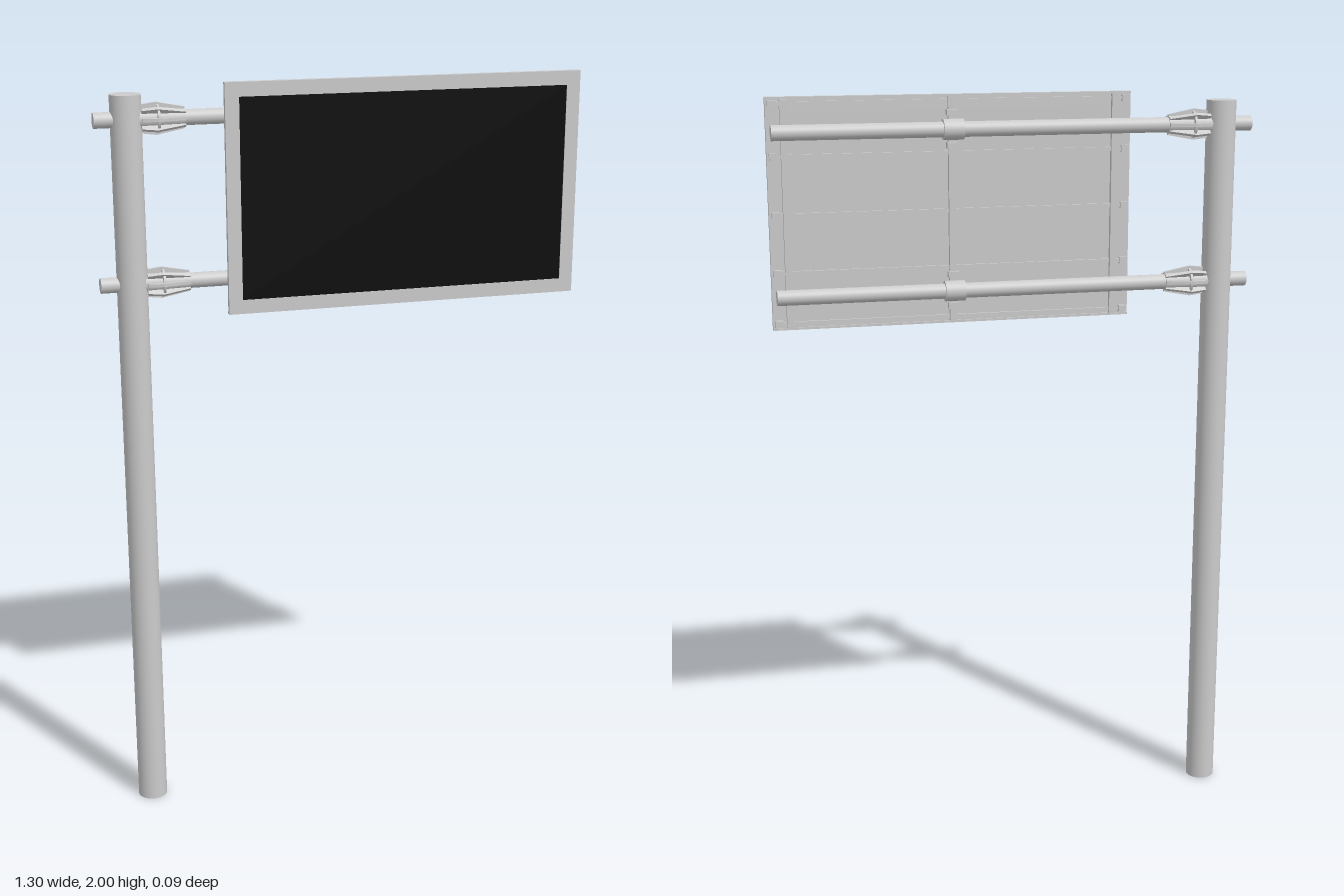
import * as THREE from 'three';

const TILT = 0.0275;
const ARM_Y = [1.912, 1.49];
const PANEL = { x0: 0.246, x1: 1.213, y0: 1.4, y1: 2.0, back: 0.027, front: 0.041 };
const BORDER = 0.037;

export function createModel() {
  const model = new THREE.Group();
  model.name = 'roadsideDisplay';
  const grey = new THREE.MeshStandardMaterial({ color: 0xcccccc });
  const black = new THREE.MeshStandardMaterial({ color: 0x080808 });

  const add = (parent, name, geometry, material = grey) => {
    const mesh = new THREE.Mesh(geometry, material);
    mesh.name = name;
    parent.add(mesh);
    return mesh;
  };
  // Box given by its limits on each axis
  const box = (parent, name, x0, x1, y0, y1, z0, z1, material) => {
    const mesh = add(parent, name, new THREE.BoxGeometry(x1 - x0, y1 - y0, z1 - z0), material);
    mesh.position.set((x0 + x1) / 2, (y0 + y1) / 2, (z0 + z1) / 2);
    return mesh;
  };
  // Cylinder lying along x
  const tubeX = (parent, name, x0, x1, r0, r1 = r0, sides = 32) => {
    const geometry = new THREE.CylinderGeometry(r1, r0, x1 - x0, sides).rotateZ(-Math.PI / 2);
    const mesh = add(parent, name, geometry);
    mesh.position.x = (x0 + x1) / 2;
    return mesh;
  };

  // Post
  const post = add(model, 'post', new THREE.CylinderGeometry(0.04, 0.04, 1.975, 48));
  post.position.set(-0.567, 1.975 / 2, 0.004);

  // Everything carried by the post is turned slightly about it
  const carrier = new THREE.Group();
  carrier.name = 'carrier';
  carrier.position.set(-0.567, 0, 0.004);
  carrier.rotation.y = TILT;
  model.add(carrier);

  const barMid = 0.733;

  // Stiffening fin: flat shoulder, then a taper towards the arm
  const finShape = new THREE.Shape([
    [0.037, 0.014], [0.037, 0.036], [0.077, 0.041], [0.15, 0.027], [0.15, 0.014],
  ].map(([x, y]) => new THREE.Vector2(x, y)));
  const finGeometry = new THREE.ExtrudeGeometry(finShape, { depth: 0.008, bevelEnabled: false });
  finGeometry.translate(0, 0, -0.004);

  for (const y of ARM_Y) {
    const arm = new THREE.Group();
    arm.name = 'arm';
    arm.position.y = y;
    carrier.add(arm);
    tubeX(arm, 'armTube', -0.083, 1.203, 0.02);

    // Finned socket beside the post
    tubeX(arm, 'socketSleeve', 0.03, 0.15, 0.026, 0.023);
    tubeX(arm, 'socketRing', 0.077, 0.083, 0.036);
    for (let i = 0; i < 8; i++) {
      const fin = add(arm, 'socketFin', finGeometry);
      fin.rotation.x = (i * Math.PI) / 4;
    }

    // Clamp tying the arm to the middle upright
    tubeX(arm, 'clampCollar', barMid - 0.027, barMid + 0.027, 0.027);
    box(arm, 'clampFoot', barMid - 0.018, barMid + 0.018, -0.024, 0.024, 0.004, 0.024);
    for (const s of [-1, 1]) {
      box(arm, 'clampLug', barMid - 0.014, barMid + 0.014, s * 0.042 - 0.008, s * 0.042 + 0.008, 0.008, 0.024);
    }
  }

  // Display panel
  const { x0, x1, y0, y1, back, front } = PANEL;
  const panel = new THREE.Group();
  panel.name = 'displayPanel';
  carrier.add(panel);

  const rectangle = (Type, inset) => new Type([
    new THREE.Vector2(x0 + inset, y0 + inset), new THREE.Vector2(x1 - inset, y0 + inset),
    new THREE.Vector2(x1 - inset, y1 - inset), new THREE.Vector2(x0 + inset, y1 - inset),
  ]);
  const frameShape = rectangle(THREE.Shape, 0);
  frameShape.holes.push(rectangle(THREE.Path, BORDER));
  const frame = add(panel, 'frame',
    new THREE.ExtrudeGeometry(frameShape, { depth: front - back, bevelEnabled: false }));
  frame.position.z = back;
  box(panel, 'screen', x0 + BORDER, x1 - BORDER, y0 + BORDER, y1 - BORDER, back + 0.004, front - 0.002, black);
  box(panel, 'backPlate', x0 + BORDER, x1 - BORDER, y0 + BORDER, y1 - BORDER, back, back + 0.004);

  // Horizontal rails with a small clip at each end
  for (const y of [1.983, 1.85, 1.7, 1.55, 1.417]) {
    box(panel, 'rail', x0 + 0.008, x1 - 0.008, y - 0.005, y + 0.005, back - 0.006, back);
    for (const x of [x0 + 0.016, x1 - 0.016]) {
      box(panel, 'railClip', x - 0.01, x + 0.01, y - 0.009, y + 0.009, back - 0.011, back);
    }
  }
  // Thin lips along the top and bottom edges
  for (const y of [y0, y1 - 0.006]) {
    box(panel, 'edgeLip', x0, x1, y, y + 0.006, back - 0.004, back);
  }
  // Vertical uprights
  for (const x of [x0 + 0.045, barMid, x1 - 0.045]) {
    box(panel, 'upright', x - 0.009, x + 0.009, y0 + 0.006, y1 - 0.006, back - 0.012, back);
  }
  // Pads joining the outer uprights to the arms
  for (const y of ARM_Y) {
    for (const x of [x0 + 0.045, x1 - 0.045]) {
      box(panel, 'armPad', x - 0.009, x + 0.009, y - 0.012, y + 0.012, 0.008, back);
    }
  }

  return model;
}
